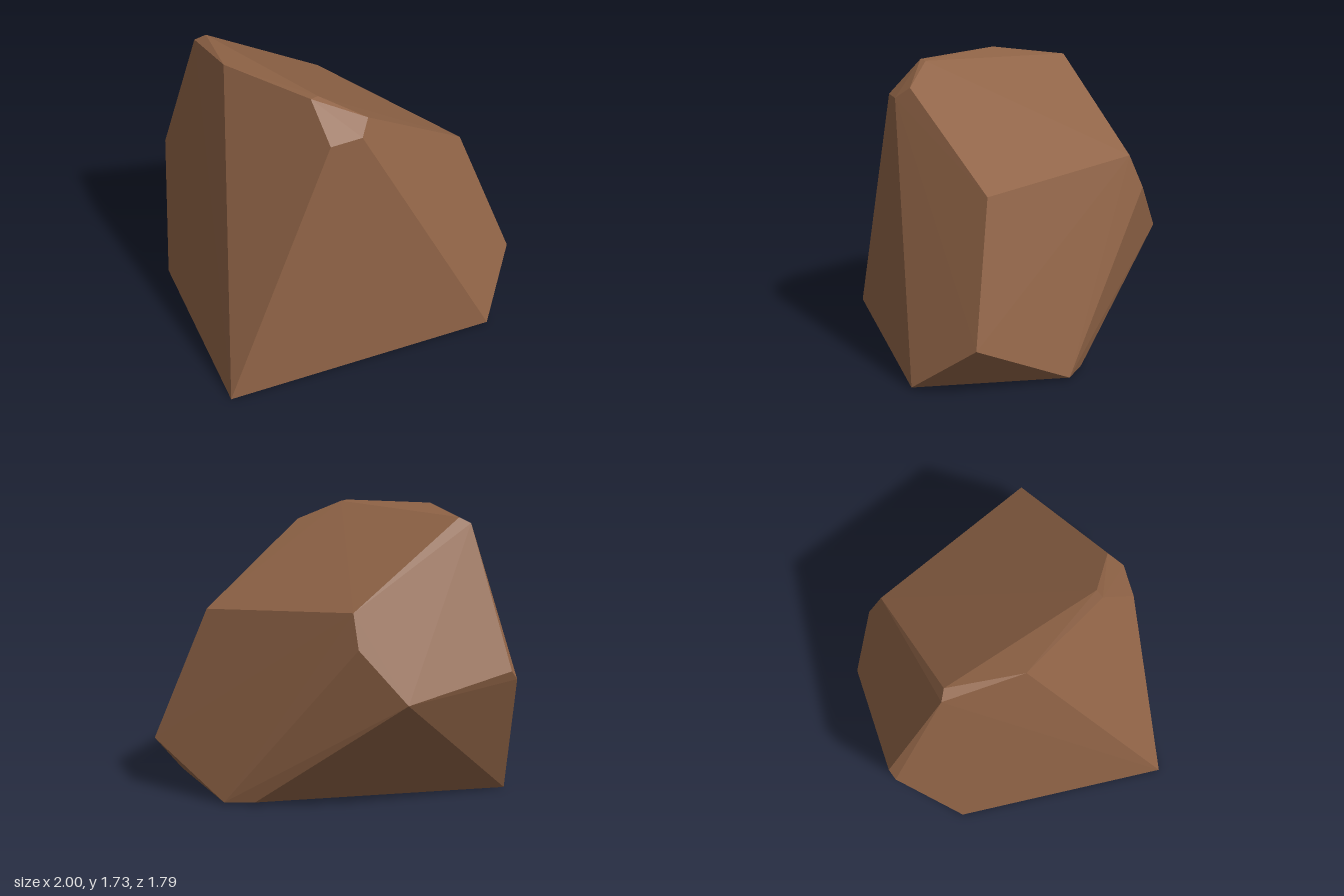
import * as THREE from 'three';
import { ConvexGeometry } from 'three/addons/geometries/ConvexGeometry.js';

// Corners of the boulder, grouped by height
const base = [
  [-0.93, 0, 0.89], [0.74, 0.01, 0.72], [0.73, 0.01, -0.2], [0.57, 0.02, -0.3], [-1, 0, -0.4],
];
const middle = [
  [1, 0.3, 0.38], [0.69, 1.1, 0.27], [0.1, 1.17, -0.68], [0.1, 0.97, -0.765],
  [-0.15, 0.66, -0.9], [-0.84, 0.8, -0.8], [-0.89, 0.745, -0.77],
];
const crown = [
  [-0.08, 1.53, 0.715], [-0.27, 1.52, 0.735], [-0.02, 1.6, 0.63], [-0.27, 1.715, 0.51],
  [-0.32, 1.72, 0.535], [-0.68, 1.725, 0.04], [-0.67, 1.67, -0.415], [-0.735, 1.635, -0.44],
];

export function createModel() {
  const group = new THREE.Group();
  group.name = 'rock';

  const stone = new THREE.MeshStandardMaterial({ color: 0x8f6346 });
  stone.name = 'brown stone';

  // Faceted boulder: flat faces stretched over the corners
  const corners = [...base, ...middle, ...crown].map((p) => new THREE.Vector3(...p));
  const boulder = new THREE.Mesh(new ConvexGeometry(corners), stone);
  boulder.name = 'boulder';
  group.add(boulder);

  return group;
}
